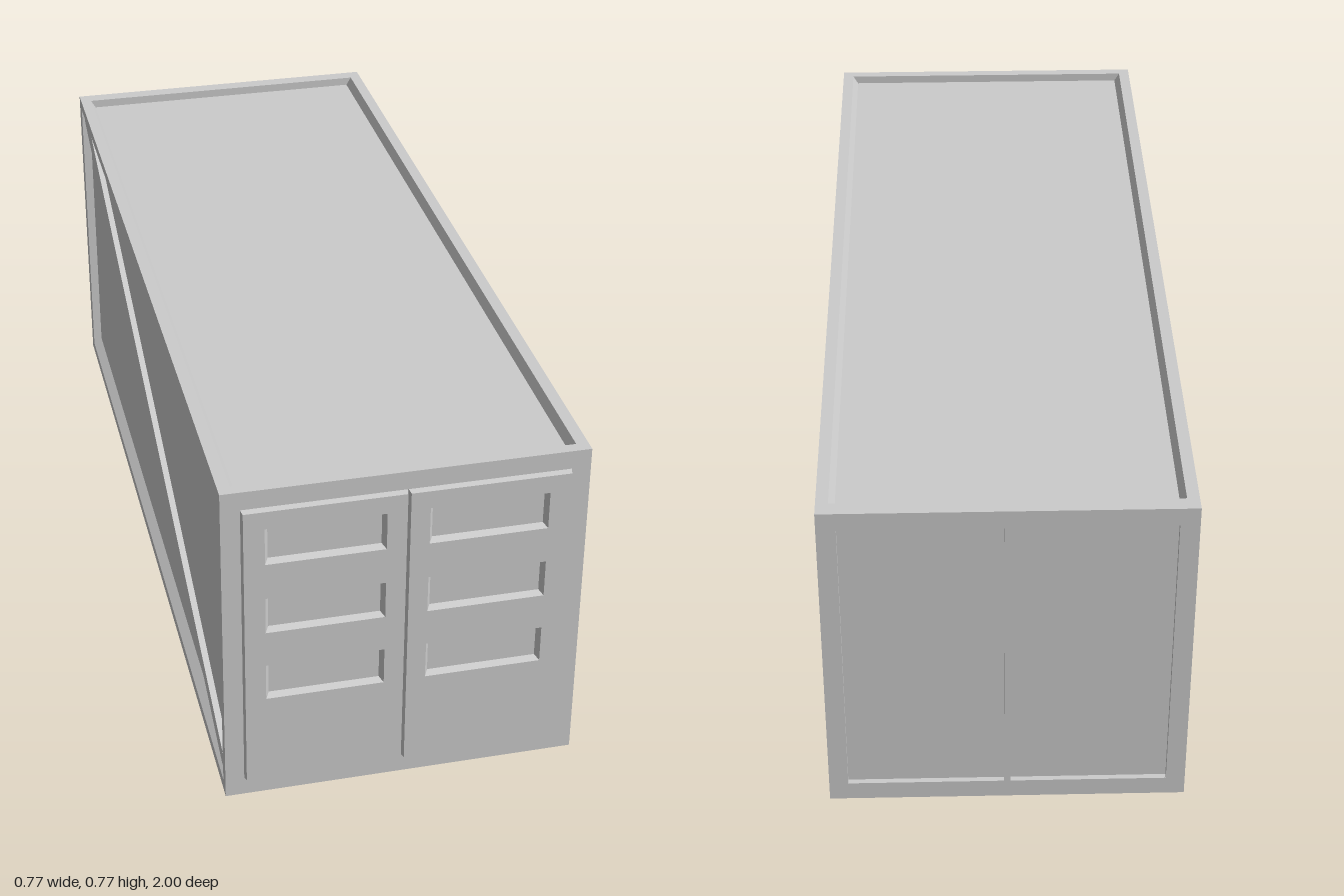
import * as THREE from 'three';

const W = 0.386, H = 0.775;          // half width and height of the container
const Z_FRONT = 0.987, Z_BACK = -1;  // outer faces of the end frames

const material = new THREE.MeshStandardMaterial({ color: 0xcccccc, flatShading: true });

function add(parent, name, geometry, x = 0, y = 0, z = 0) {
  const mesh = new THREE.Mesh(geometry, material);
  mesh.name = name;
  mesh.position.set(x, y, z);
  parent.add(mesh);
  return mesh;
}

const polygon = (pts) => new THREE.Shape(pts.map(([x, y]) => new THREE.Vector2(x, y)));

// rectangles are [x0, y0, x1, y1]
const corners = ([x0, y0, x1, y1]) => [[x0, y0], [x1, y0], [x1, y1], [x0, y1]];
const inset = ([x0, y0, x1, y1], d) => [x0 + d, y0 + d, x1 - d, y1 - d];

function plate(outer, holes) {
  const shape = polygon(corners(outer));
  holes.forEach((h) => shape.holes.push(polygon(corners(h))));
  return shape;
}

const extrude = (shape, depth) => new THREE.ExtrudeGeometry(shape, { depth, bevelEnabled: false });

// Four sloping walls from rectangle a at za to rectangle b at zb
function slopedWalls(a, za, b, zb) {
  const pos = [], index = [];
  corners(a).forEach(([x, y]) => pos.push(x, y, za));
  corners(b).forEach(([x, y]) => pos.push(x, y, zb));
  for (let i = 0; i < 4; i++) {
    const j = (i + 1) % 4;
    index.push(i, j, j + 4, i, j + 4, i + 4);
  }
  const g = new THREE.BufferGeometry();
  g.setAttribute('position', new THREE.Float32BufferAttribute(pos, 3));
  g.setIndex(index);
  const flat = g.toNonIndexed();
  flat.computeVertexNormals();
  return flat;
}

// Door leaf with chamfered outline and three sunken panels
function createDoor(side) {
  const door = new THREE.Group();
  door.name = side > 0 ? 'leftDoor' : 'rightDoor';
  const span = (a, b, y0, y1) => (side > 0 ? [a, y0, b, y1] : [-b, y0, -a, y1]);
  const base = span(0.001, 0.345, 0.044, 0.733);
  const face = inset(base, 0.003);
  const windows = [0.26, 0.431, 0.602].map((y) => span(0.045, 0.298, y, y + 0.087));

  add(door, 'doorFace', new THREE.ShapeGeometry(plate(face, windows)), 0, 0, 1);
  add(door, 'doorEdge', slopedWalls(base, Z_FRONT, face, 1));
  windows.forEach((w) => add(door, 'panelRecess', slopedWalls(w, 1, inset(w, 0.008), Z_FRONT)));
  return door;
}

export function createModel() {
  const model = new THREE.Group();
  model.name = 'container';

  // Body: corner beams and recessed roof, walls and floor in one cross-section
  const quarter = [[0.365, 0.04], [W, 0.025], [W, 0], [0.36, 0], [0.348, 0.02]];
  const right = [...quarter].reverse().concat(quarter.map(([x, y]) => [x, H - y]));
  const left = right.map(([x, y]) => [-x, y]).reverse();
  add(model, 'body', extrude(polygon([...right, ...left]), 1.93), 0, 0, -0.967);

  // Front end wall
  add(model, 'frontFrame', new THREE.BoxGeometry(2 * W, H, 0.025), 0, H / 2, Z_FRONT - 0.0125);

  // Back end wall: frame with centre post around two sunken panels
  const bays = [[-0.345, 0.044, -0.007, 0.733], [0.007, 0.044, 0.345, 0.733]];
  add(model, 'backFrame', extrude(plate([-W, 0, W, H], bays), 0.035), 0, 0, Z_BACK);
  bays.forEach(([x0, y0, x1, y1]) => add(model, 'backPanel',
    new THREE.BoxGeometry(x1 - x0, y1 - y0, 0.022), (x0 + x1) / 2, (y0 + y1) / 2, Z_BACK + 0.023));

  // Front doors
  for (const side of [1, -1]) model.add(createDoor(side));

  // Diagonal braces on both long walls, rising towards the back
  const brace = polygon([[-0.963, 0.03], [-0.91, 0.03], [0.965, 0.717],
    [0.965, 0.753], [0.92, 0.753], [-0.963, 0.05]]);
  for (const side of [1, -1]) {
    const g = extrude(brace, 0.02);
    g.rotateY(Math.PI / 2);
    add(model, side > 0 ? 'leftBrace' : 'rightBrace', g, side * 0.369 - 0.01);
  }

  return model;
}
